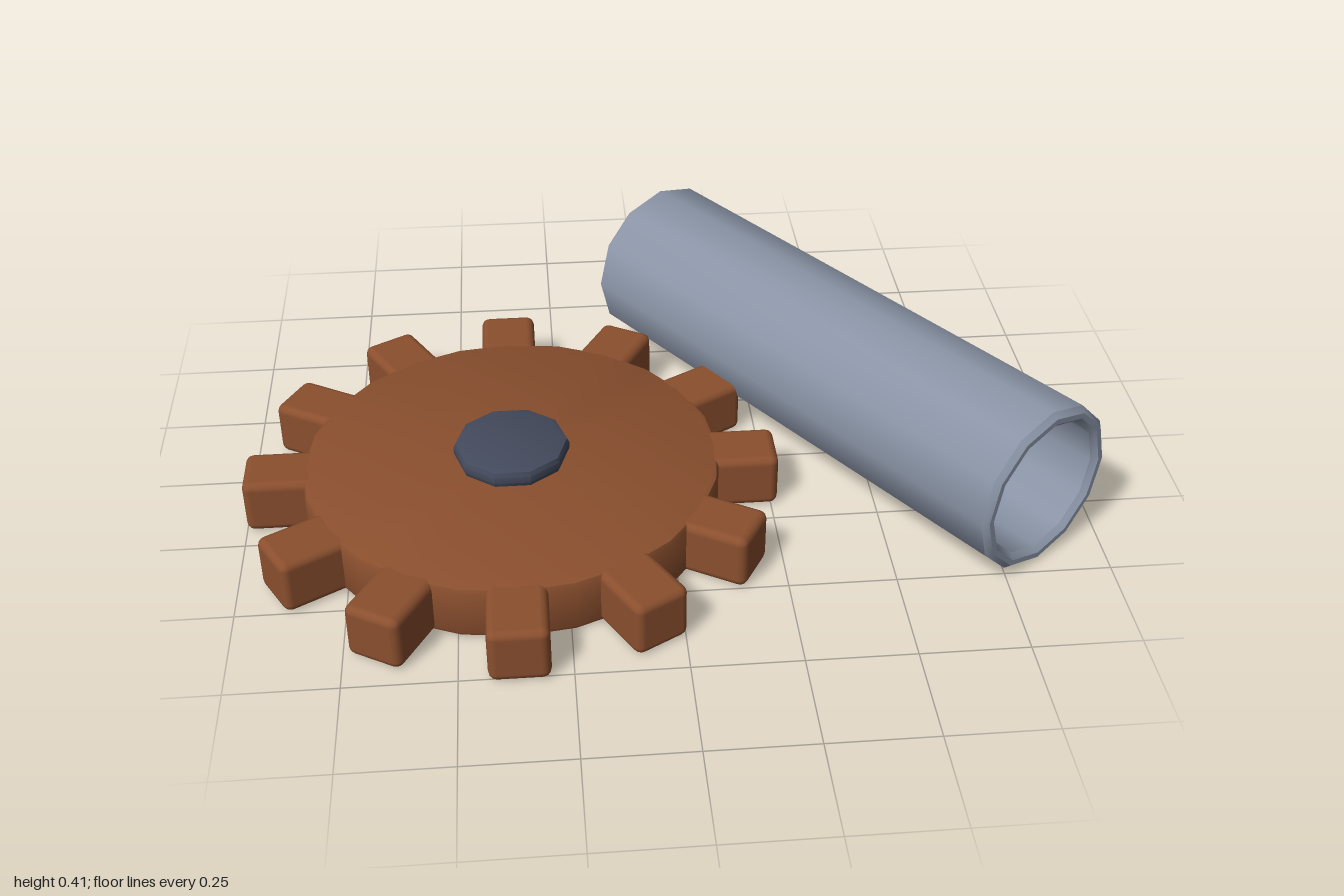
import * as THREE from 'three';
import { toCreasedNormals } from 'three/addons/utils/BufferGeometryUtils.js';
import { RoundedBoxGeometry } from 'three/addons/geometries/RoundedBoxGeometry.js';

const makeMaterial = (name, color) => {
  const m = new THREE.MeshStandardMaterial({ color });
  m.name = name;
  return m;
};

// Revolved profile with smooth curves and crisp bevel edges
function turned(points, sides) {
  const profile = points.map(([r, y]) => new THREE.Vector2(r, y));
  return toCreasedNormals(new THREE.LatheGeometry(profile, sides), 0.7);
}

// Solid disc with softened rims, from y0 to y1
function bevelledDisc(radius, y0, y1, b, sides) {
  return turned([
    [0, y0], [radius - b, y0], [radius - b * 0.3, y0 + b * 0.3], [radius, y0 + b],
    [radius, y1 - b], [radius - b * 0.3, y1 - b * 0.3], [radius - b, y1], [0, y1],
  ], sides);
}

export function createModel() {
  const model = new THREE.Group();
  const rust = makeMaterial('rust brown', 0x8a4f2e);
  const steel = makeMaterial('steel grey', 0x8a94a6);
  const dark = makeMaterial('dark steel', 0x434a5c);

  const add = (parent, name, geometry, material) => {
    const mesh = new THREE.Mesh(geometry, material);
    mesh.name = name;
    parent.add(mesh);
    return mesh;
  };

  // Cog lying flat
  const cog = new THREE.Group();
  cog.name = 'cog';
  cog.position.set(-0.367, 0, 0.132);
  model.add(cog);
  const height = 0.138;
  add(cog, 'cogDisc', bevelledDisc(0.496, 0, height, 0.015, 24), rust);

  // Twelve rounded teeth
  const outer = 0.633, inner = 0.44;
  const tooth = new RoundedBoxGeometry(outer - inner, height - 0.002, 0.137, 2, 0.02);
  tooth.translate((outer + inner) / 2, height / 2, 0);
  for (let i = 0; i < 12; i++) {
    add(cog, 'tooth', tooth, rust).rotation.y = (i * Math.PI) / 6;
  }

  // Hub cap on top of the cog
  add(cog, 'hub', bevelledDisc(0.137, 0.137, 0.185, 0.016, 10), dark).rotation.y = Math.PI / 2;

  // Open pipe lying beside the cog
  const R = 0.2075, r = 0.168, h = 0.684, b = 0.013;
  const pipe = turned([
    [R, -h + b], [R, h - b], [R - b, h], [r + b, h], [r, h - b],
    [r, -h + b], [r + b, -h], [R - b, -h], [R, -h + b],
  ], 12);
  pipe.rotateX(Math.PI / 2);
  const pipeMesh = add(model, 'pipe', pipe, steel);
  pipeMesh.position.set(0.441, R, -0.096);
  pipeMesh.rotation.y = THREE.MathUtils.degToRad(35.2);

  return model;
}
